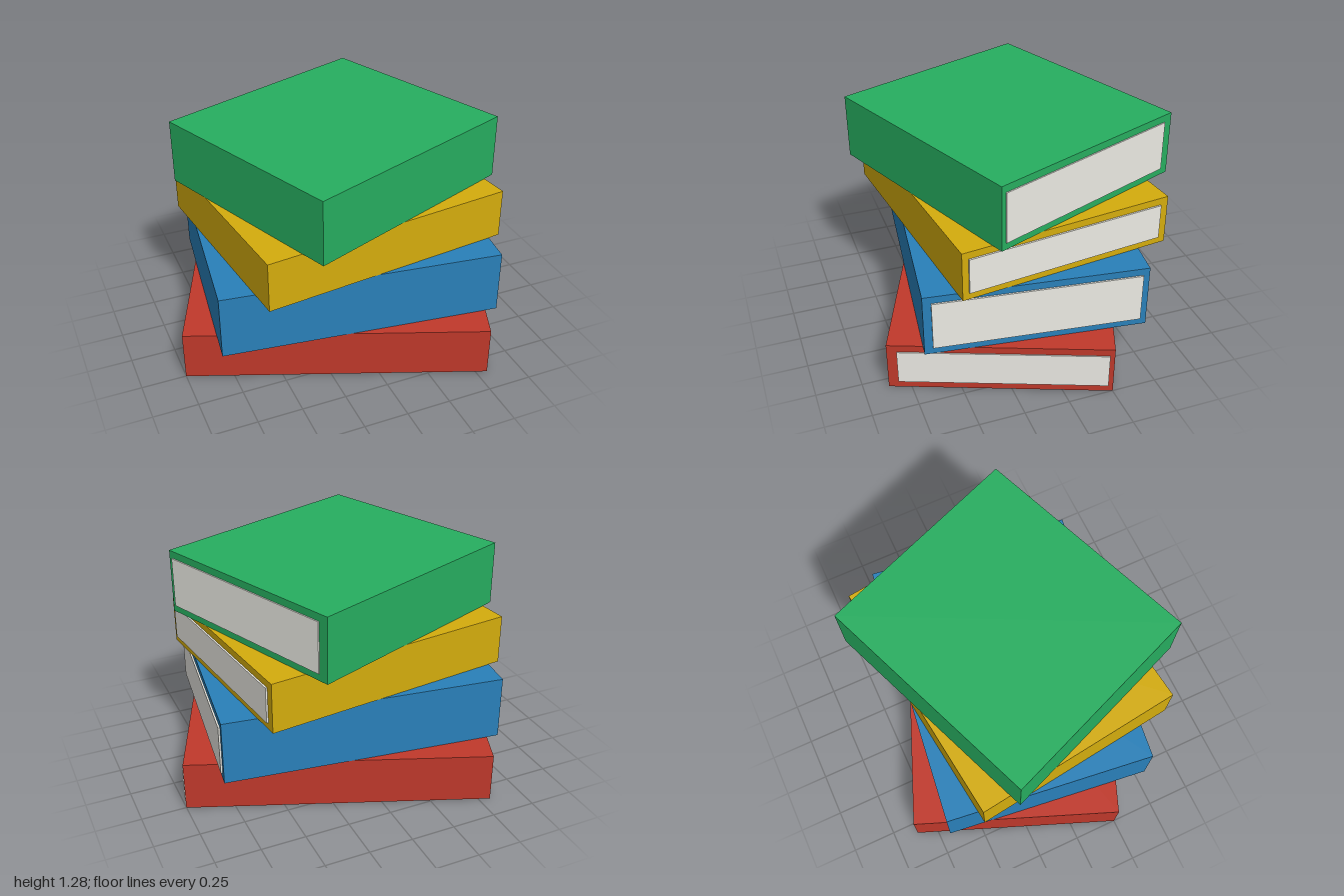
import * as THREE from 'three';

// Stack of four books, bottom to top
const BOOKS = [
  { name: 'redBook', color: 0xc0392b, height: 0.28 },
  { name: 'blueBook', color: 0x2980b9, height: 0.36 },
  { name: 'yellowBook', color: 0xd4ac0d, height: 0.28 },
  { name: 'greenBook', color: 0x27ae60, height: 0.36 },
];
const DEPTH = 1.2;
const INSET = 0.04;

function box(name, w, h, d, color) {
  const material = new THREE.MeshStandardMaterial({ color });
  const mesh = new THREE.Mesh(new THREE.BoxGeometry(w, h, d), material);
  mesh.name = name;
  return mesh;
}

export function createModel() {
  const stack = new THREE.Group();
  stack.name = 'bookStack';
  let y = 0;

  BOOKS.forEach(({ name, color, height }, i) => {
    // Each book is a little narrower and twisted further than the one below
    const width = 1.68 - 0.12 * i;
    const turn = -0.375 + 0.25 * i;
    const book = new THREE.Group();
    book.name = name;
    book.position.y = y + height / 2;

    const cover = box('cover', width, height, DEPTH, color);
    cover.rotation.y = turn;

    // Page block slid sideways so it just stands out of the open edge
    const pages = box('pages', width - 0.06, height - 2 * INSET, DEPTH - 2 * INSET, 0xecebe4);
    pages.rotation.y = turn;
    pages.position.x = 0.04;

    book.add(cover, pages);
    stack.add(book);
    y += height;
  });
  return stack;
}
